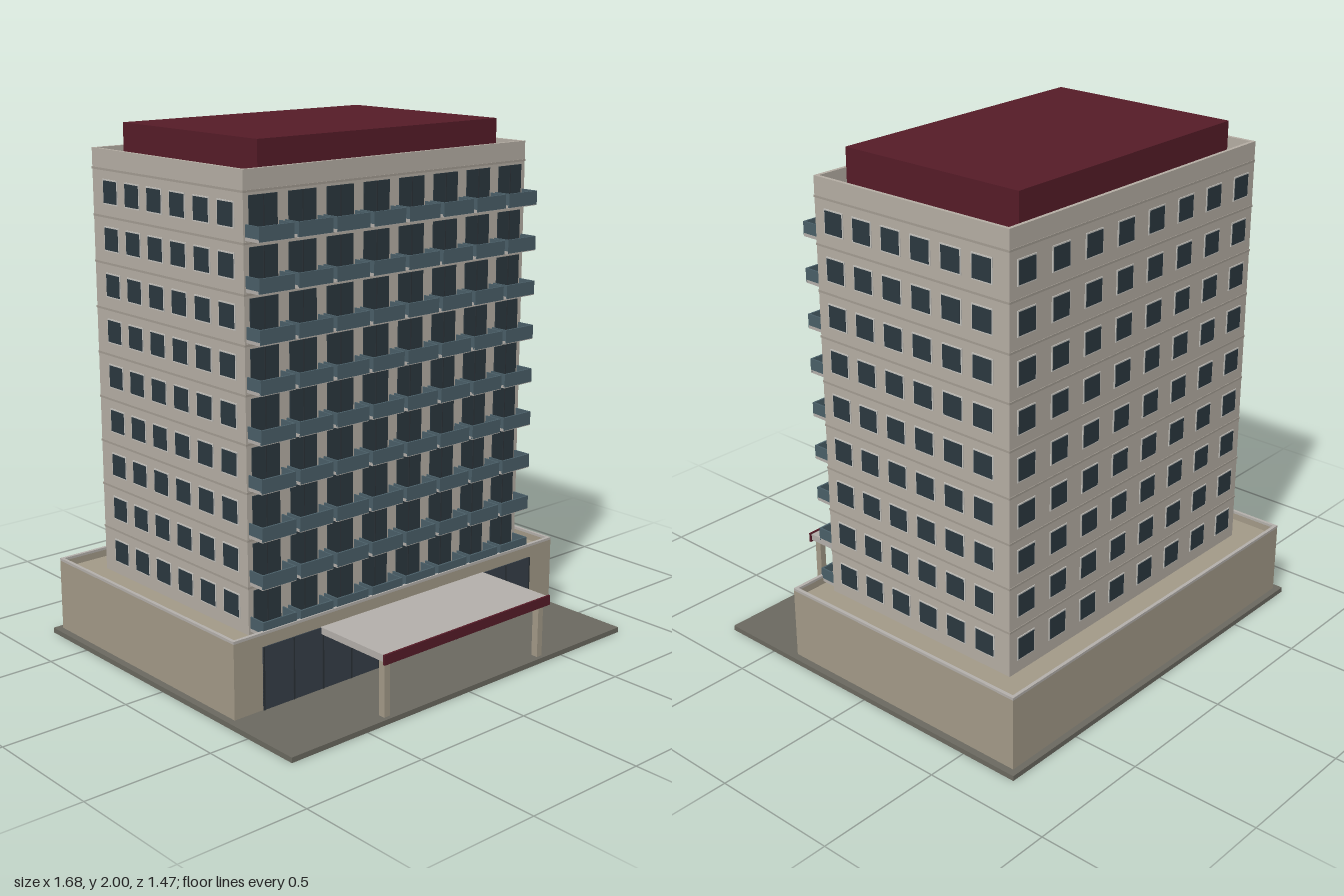
import * as THREE from 'three';

const mat = (color) => new THREE.MeshStandardMaterial({ color });
const wall = mat(0xb5aea4), band = mat(0xa39c92), stone = mat(0xa39a88), paving = mat(0x6b6960);
const red = mat(0x561c28), glass = mat(0x2b383f), shopGlass = mat(0x363f48), mullion = mat(0x2a3036);
const railing = mat(0x4a5f68), concrete = mat(0xb4b0ab), frame = mat(0xc4c2bd);

const FLOORS = 9, PITCH = 0.1734, FIRST = 0.288; // first floor level
const T = { x0: -0.682, x1: 0.682, z0: -0.58, z1: 0.312 }; // tower footprint

// Box given by its limits on each axis
function box(parent, name, material, x0, x1, y0, y1, z0, z1) {
  const mesh = new THREE.Mesh(new THREE.BoxGeometry(x1 - x0, y1 - y0, z1 - z0), material);
  mesh.position.set((x0 + x1) / 2, (y0 + y1) / 2, (z0 + z1) / 2);
  mesh.name = name;
  parent.add(mesh);
  return mesh;
}

// Hollow rectangular wall of thickness t
function ring(parent, name, material, r, y0, y1, t) {
  const shape = new THREE.Shape();
  const rect = (path, i) => path.moveTo(r.x0 + i, -r.z1 + i).lineTo(r.x1 - i, -r.z1 + i)
    .lineTo(r.x1 - i, -r.z0 - i).lineTo(r.x0 + i, -r.z0 - i).closePath();
  rect(shape, 0);
  const hole = new THREE.Path();
  rect(hole, t);
  shape.holes.push(hole);
  const geo = new THREE.ExtrudeGeometry(shape, { depth: y1 - y0, bevelEnabled: false });
  geo.rotateX(-Math.PI / 2).translate(0, y0, 0);
  const mesh = new THREE.Mesh(geo, material);
  mesh.name = name;
  parent.add(mesh);
}

function group(parent, name) {
  const g = new THREE.Group();
  g.name = name;
  parent.add(g);
  return g;
}

// Framed square window facing +z, centred on the group's origin
function addWindow(parent, x, y, z, turn) {
  const w = group(parent, 'window');
  box(w, 'windowFrame', frame, -0.046, 0.046, -0.046, 0.046, -0.004, 0.003);
  box(w, 'windowGlass', glass, -0.041, 0.041, -0.041, 0.041, -0.004, 0.005);
  w.position.set(x, y, z);
  w.rotation.y = turn;
}

// Balcony with slab, front and side railing, and the glazed door behind it
function addBalcony(parent, x, y) {
  const b = group(parent, 'balcony');
  const h = 0.076, d = 0.073, t = 0.006;
  box(b, 'balconyDoor', glass, -0.061, 0.061, 0.014, 0.15, -0.005, 0.004);
  box(b, 'doorMullion', mullion, -0.002, 0.002, 0.014, 0.15, 0, 0.006);
  box(b, 'balconySlab', concrete, -h, h, 0, 0.012, -0.005, d);
  box(b, 'frontRailing', railing, -h, h, 0.003, 0.055, d - t, d + 0.001);
  for (const s of [-1, 1]) {
    const edge = s * (h - t / 2);
    box(b, 'sideRailing', railing, edge - t / 2, edge + t / 2, 0.012, 0.055, 0, d - t);
  }
  b.position.set(x, y, T.z1);
}

export function createModel() {
  const model = new THREE.Group();
  model.name = 'towerBlock';

  // Ground slab and podium
  box(model, 'groundSlab', paving, -0.84, 0.84, 0, 0.02, -0.735, 0.735);
  const podium = group(model, 'podium');
  const P = { x0: -0.812, x1: 0.812, z0: -0.71, z1: 0.392 };
  box(podium, 'podiumBody', stone, P.x0, P.x1, 0.02, 0.275, P.z0, P.z1);
  ring(podium, 'podiumParapet', stone, P, 0.275, 0.302, 0.013);
  ring(podium, 'podiumCoping', concrete, P, 0.302, 0.312, 0.013);

  // Ground floor glazing
  box(podium, 'lobbyGlass', shopGlass, -0.685, 0.685, 0.02, 0.258, 0.38, 0.396);
  for (let i = 0; i <= 10; i++) {
    const x = -0.682 + i * 0.1364;
    box(podium, 'lobbyMullion', mullion, x - 0.003, x + 0.003, 0.02, 0.258, 0.39, 0.398);
  }

  // Entrance canopy
  const canopy = group(model, 'entranceCanopy');
  box(canopy, 'canopyRoof', concrete, -0.418, 0.418, 0.234, 0.26, 0.39, 0.728);
  box(canopy, 'canopyFascia', red, -0.424, 0.424, 0.226, 0.264, 0.728, 0.736);
  for (const x of [-0.394, 0.394])
    box(canopy, 'canopyColumn', stone, x - 0.013, x + 0.013, 0.02, 0.234, 0.69, 0.718);

  // Tower body, roof parapet and plant room
  const tower = group(model, 'tower');
  box(tower, 'towerBody', wall, T.x0, T.x1, 0.27, 1.845, T.z0, T.z1);
  ring(tower, 'roofParapet', wall, T, 1.845, 1.912, 0.014);
  box(tower, 'roofPlantRoom', red, -0.577, 0.577, 1.845, 2, -0.528, 0.259);

  // Storeys
  for (let f = 0; f < FLOORS; f++) {
    const y = FIRST + f * PITCH;
    const storey = group(tower, 'storey');
    const e = 0.002;
    box(storey, 'floorBand', band, T.x0 - e, T.x1 + e, y + PITCH - 0.014, y + PITCH - 0.006, T.z0 - e, T.z1 + e);
    for (let i = 0; i < 8; i++) {
      const x = (i - 3.5) * 0.171;
      addBalcony(storey, x, y);
      addWindow(storey, x, y + 0.082, T.z0, Math.PI);
    }
    for (let i = 0; i < 6; i++) {
      const z = 0.219 - i * 0.1368;
      addWindow(storey, T.x1, y + 0.082, z, Math.PI / 2);
      addWindow(storey, T.x0, y + 0.082, z, -Math.PI / 2);
    }
  }
  return model;
}
